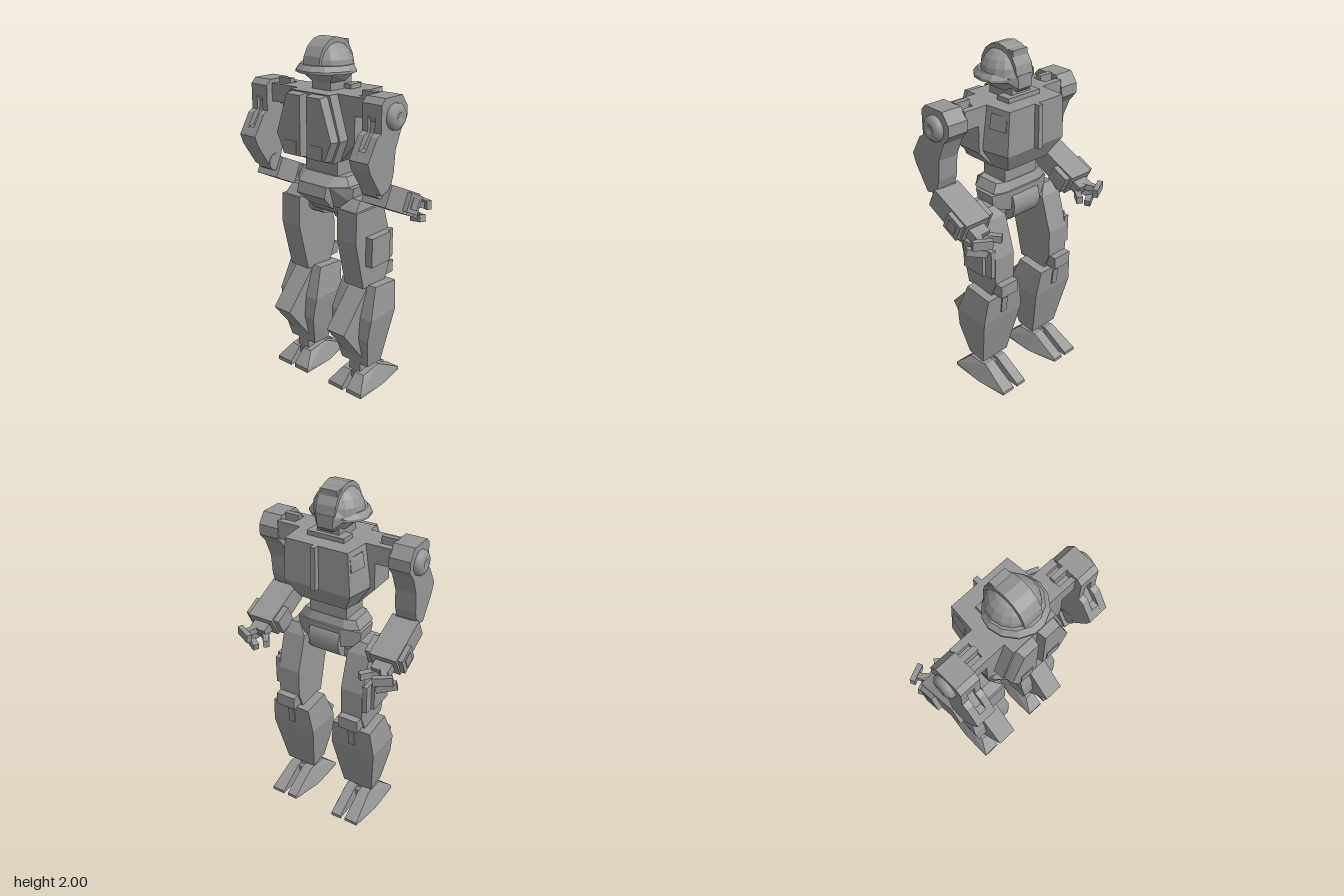
import * as THREE from 'three';
import { ConvexGeometry } from 'three/addons/geometries/ConvexGeometry.js';

export function createModel() {
  const model = new THREE.Group();
  model.name = 'robot';
  const grey = new THREE.MeshStandardMaterial({ color: 0x969696 });
  grey.name = 'armourGrey';
  let parent = model;

  const group = (name) => {
    parent = new THREE.Group();
    parent.name = name;
    model.add(parent);
  };
  const add = (name, geo) => {
    const m = new THREE.Mesh(geo, grey);
    m.name = name;
    parent.add(m);
    return m;
  };
  // box from its limits on each axis
  const box = (name, x0, x1, y0, y1, z0, z1) => {
    const m = add(name, new THREE.BoxGeometry(Math.abs(x1 - x0), y1 - y0, z1 - z0));
    m.position.set((x0 + x1) / 2, (y0 + y1) / 2, (z0 + z1) / 2);
    return m;
  };
  // side profile of [z, y] points, extruded between two x values
  const profile = (name, pts, xa, xb) => {
    const shape = new THREE.Shape(pts.map(([z, y]) => new THREE.Vector2(-z, y)));
    const geo = new THREE.ExtrudeGeometry(shape, { depth: Math.abs(xb - xa), bevelEnabled: false });
    geo.rotateY(Math.PI / 2).translate(Math.min(xa, xb), 0, 0);
    return add(name, geo);
  };
  const hull = (name, pts) => add(name, new ConvexGeometry(pts.map((p) => new THREE.Vector3(...p))));
  const both = (pts) => pts.flatMap(([x, y, z]) => [[x, y, z], [-x, y, z]]);
  const flat = (geo) => {
    const g = geo.toNonIndexed();
    g.computeVertexNormals();
    return g;
  };
  // cylinder lying along x
  const axle = (name, x0, x1, y, z, r) => {
    const m = add(name, new THREE.CylinderGeometry(r, r, Math.abs(x1 - x0), 16).rotateZ(Math.PI / 2));
    m.position.set((x0 + x1) / 2, y, z);
  };
  // square bar between two points
  const bar = (name, a, b, w, h) => {
    const p = new THREE.Vector3(...a), q = new THREE.Vector3(...b);
    const m = add(name, new THREE.BoxGeometry(w, h, p.distanceTo(q)));
    m.position.copy(p).add(q).multiplyScalar(0.5);
    m.lookAt(q);
  };

  // Head: domed helmet with brim, central crest and wedge-shaped face
  group('head');
  const dome = add('helmetDome', flat(new THREE.SphereGeometry(1, 16, 5, 0, Math.PI * 2, 0, Math.PI / 2)));
  dome.scale.set(0.138, 0.135, 0.135);
  dome.position.set(0, 1.85, 0.05);
  const rim = [[0.04, -0.085], [0.1, -0.05], [0.15, 0], [0.165, 0.06], [0.15, 0.13], [0.1, 0.195], [0.03, 0.228]];
  hull('helmetBrim', both(rim.flatMap(([x, z]) => [
    [x, 1.825, z], [x, 1.838, z], [x * 0.88, 1.865, 0.05 + (z - 0.05) * 0.85]])));
  const arc = [];
  for (let i = 0; i <= 8; i++) {
    const a = (Math.PI * i) / 8;
    arc.push([0.05 + 0.138 * Math.cos(a), 1.85 + 0.15 * Math.sin(a)]);
  }
  profile('helmetCrest', arc, -0.056, 0.056);
  profile('crestLamp', [[0.05, 1.985], [-0.053, 1.98], [-0.053, 1.92], [0.05, 1.92]], -0.05, 0.05);
  hull('face', both([[0.118, 1.83, 0.15], [0.12, 1.84, 0.03], [0.05, 1.86, -0.09], [0.1, 1.84, -0.04],
    [0.065, 1.77, 0.11], [0.07, 1.77, 0], [0.035, 1.77, -0.07], [0.045, 1.79, -0.09]]));
  hull('visor', both([[0.05, 1.92, -0.05], [0.055, 1.85, -0.09], [0.1, 1.85, -0.04], [0.06, 1.92, 0]]));
  box('neck', -0.065, 0.065, 1.7, 1.79, -0.06, 0.11);

  // Torso: wide core, six-sided front slab with twin plates, rear block
  group('torso');
  box('collar', -0.11, 0.11, 1.7, 1.755, -0.085, 0.0);
  hull('chestCore', both([0.14, -0.02].flatMap((z) => [[0.255, 1.73, z], [0.255, 1.48, z], [0.16, 1.375, z]])));
  hull('chestSlab', both([0.2, 0.1].flatMap((z) => [[0.14, 1.73, z], [0.21, 1.5, z], [0.16, 1.375, z]])));
  hull('chestRear', both([[0.185, 1.73, -0.175], [0.2, 1.49, -0.175], [0.14, 1.375, -0.11],
    [0.2, 1.73, 0], [0.235, 1.49, 0], [0.16, 1.375, 0]]));
  box('rearRidge', -0.014, 0.014, 1.49, 1.73, -0.206, -0.17);
  for (const s of [-1, 1]) {
    const plate = (d) => [[0.015 + d, 1.725 - d], [0.125 - d, 1.725 - d], [0.2 - d, 1.5], [0.152 - d, 1.385 + d], [0.015 + d, 1.385 + d]];
    hull('chestPlate', [...plate(0).map(([x, y]) => [s * x, y, 0.19]), ...plate(0.008).map(([x, y]) => [s * x, y, 0.25])]);
    box('chestHatch', s * 0.05, s * 0.13, 1.4, 1.47, 0.245, 0.254);
    hull('sideVent', [[0.19, 1.7, -0.16], [0.2, 1.62, -0.16], [0.205, 1.7, -0.06], [0.22, 1.62, -0.06]]
      .flatMap(([x, y, z]) => [[s * x, y, z], [s * (x - 0.03), y, z]]));
  }
  box('waist', -0.115, 0.115, 1.25, 1.38, -0.06, 0.11);

  // Pelvis: belt, hip block with a jutting front guard, drum and hip joints
  group('pelvis');
  hull('belt', both([[0.16, 1.28, 0.09], [0.16, 1.28, -0.04], [0.1, 1.28, 0.12], [0.1, 1.28, -0.065],
    [0.19, 1.23, 0.1], [0.19, 1.23, -0.05], [0.1, 1.23, 0.18], [0.11, 1.23, -0.085]]));
  hull('hipBlock', both([[0.2, 1.22, 0.08], [0.2, 1.22, -0.05], [0.1, 1.235, 0.17], [0.1, 1.235, -0.095],
    [0.19, 1.13, 0.07], [0.19, 1.13, -0.05], [0.09, 1.09, 0.1], [0.09, 1.12, -0.09]]));
  hull('frontGuard', both([[0.1, 1.23, 0.185], [0.1, 1.17, 0.2], [0.08, 1.09, 0.115], [0.1, 1.23, 0.1], [0.08, 1.09, 0.06]]));
  axle('crotchDrum', -0.095, 0.095, 1.14, 0.0, 0.115);
  for (const s of [-1, 1]) {
    axle('hipJoint', s * 0.045, s * 0.15, 1.06, 0.01, 0.055);
    axle('hipPin', s * 0.09, s * 0.2, 1.1, 0.01, 0.055);
  }

  for (const s of [-1, 1]) {
    const side = s > 0 ? 'left' : 'right';

    // Shoulder: three connecting bars, housing and round cap
    group(side + 'Arm');
    box('shoulderBarFront', s * 0.25, s * 0.34, 1.63, 1.73, 0.11, 0.14);
    box('shoulderBarMiddle', s * 0.25, s * 0.34, 1.61, 1.755, 0.05, 0.08);
    box('shoulderBarRear', s * 0.25, s * 0.34, 1.63, 1.73, -0.02, 0.02);
    box('shoulderCore', s * 0.25, s * 0.34, 1.65, 1.7, -0.01, 0.13);
    profile('shoulderHousing', [[0.15, 1.75], [0.015, 1.75], [-0.03, 1.69], [-0.03, 1.63], [0.015, 1.58],
      [0.13, 1.58], [0.18, 1.66], [0.18, 1.72]], s * 0.335, s * 0.455);
    const cap = add('shoulderCap', new THREE.LatheGeometry([[0.068, 0], [0.068, 0.02], [0.05, 0.036], [0.025, 0.04], [0.022, 0.03], [0, 0.03]]
      .map((p) => new THREE.Vector2(...p)), 20));
    cap.rotation.z = -s * Math.PI / 2;
    cap.position.set(s * 0.454, 1.65, 0.075);

    // Upper arm: solid elbow end, shallow channel between two rails above it
    const inside = [[0.03, 1.68], [0.015, 1.58], [0.06, 1.475], [0.07, 1.36], [0.095, 1.28], [0.17, 1.26], [0.26, 1.395], [0.28, 1.45]];
    const rail = [[0.18, 1.68], ...inside, [0.21, 1.565], [0.18, 1.58]];
    profile('upperArmCore', [[0.155, 1.68], ...inside, [0.252, 1.495], [0.215, 1.5], [0.165, 1.57]], s * 0.37, s * 0.416);
    profile('upperArmInner', rail, s * 0.335, s * 0.372);
    profile('upperArmOuter', rail, s * 0.414, s * 0.455);
    axle('elbow', s * 0.33, s * 0.43, 1.28, 0.13, 0.05);

    // Forearm block pointing back and down, with a pad on either side
    profile('forearm', [[0.095, 1.305], [-0.16, 1.19], [-0.1, 1.075], [0.15, 1.195]], s * 0.31, s * 0.468);
    for (const [x0, x1] of [[0.465, 0.495], [0.275, 0.315]]) {
      box('forearmPad', s * x0, s * x1, 1.11, 1.215, -0.125, -0.015).rotation.x = -0.44;
    }
    box('padHatch', s * 0.492, s * 0.499, 1.132, 1.194, -0.1, -0.04).rotation.x = -0.44;

    // Claw hand
    bar('palm', [s * 0.39, 1.15, -0.08], [s * 0.39, 1.105, -0.18], 0.1, 0.06);
    bar('outerUpperLink', [s * 0.39, 1.125, -0.15], [s * 0.45, 1.105, -0.24], 0.035, 0.035);
    bar('outerUpperTip', [s * 0.39, 1.105, -0.265], [s * 0.487, 1.115, -0.22], 0.03, 0.05);
    bar('outerLowerLink', [s * 0.4, 1.09, -0.13], [s * 0.45, 1.05, -0.19], 0.035, 0.035);
    bar('outerLowerTip', [s * 0.385, 1.025, -0.215], [s * 0.485, 1.055, -0.165], 0.035, 0.04);
    bar('innerLink', [s * 0.39, 1.1, -0.14], [s * 0.33, 1.085, -0.19], 0.035, 0.035);
    bar('innerTip', [s * 0.35, 1.085, -0.165], [s * 0.297, 1.085, -0.235], 0.035, 0.04);

    // Thigh and knee
    group(side + 'Leg');
    profile('thigh', [[0.14, 1.11], [0.145, 0.94], [0.075, 0.65], [-0.12, 0.65], [-0.155, 0.74], [-0.155, 0.9],
      [-0.09, 1.11]], s * 0.14, s * 0.275);
    hull('thighTop', [[0.14, 1.11, 0.13], [0.14, 1.11, -0.09], [0.26, 1.11, 0.13], [0.26, 1.11, -0.09],
      [0.19, 1.165, 0.08], [0.19, 1.165, -0.05], [0.25, 1.165, 0.08], [0.25, 1.165, -0.05]].map(([x, y, z]) => [s * x, y, z]));
    box('thighPack', s * 0.27, s * 0.32, 0.785, 0.955, -0.1, 0.06);
    box('thighPackRear', s * 0.27, s * 0.3, 0.785, 0.955, -0.15, -0.1);
    box('kneeBlock', s * 0.15, s * 0.27, 0.665, 0.74, -0.198, -0.1);

    // Calf with wedge-shaped shin guard
    const calf = [[0.66, 0.085, 0.325, 0.03], [0.645, 0.085, 0.325, -0.15], [0.48, 0.06, 0.35, 0.095], [0.48, 0.065, 0.345, -0.132],
      [0.35, 0.076, 0.334, 0.107], [0.155, 0.11, 0.3, 0.06], [0.145, 0.11, 0.3, -0.06]];
    hull('calf', calf.flatMap(([y, x0, x1, z]) => [[s * x0, y, z], [s * x1, y, z]]));
    profile('shinGuard', [[0.03, 0.65], [0.235, 0.42], [0.06, 0.195]], s * 0.145, s * 0.27);
    box('calfSlot', s * 0.185, s * 0.225, 0.52, 0.62, -0.149, -0.141).rotation.x = -0.1;
    box('ankle', s * 0.165, s * 0.245, 0.07, 0.16, -0.03, 0.06);

    // Split foot
    for (const [a, b, ta, tb] of [[0.085, 0.192, 0.13, 0.192], [0.222, 0.33, 0.222, 0.285]]) {
      const tip = tb + (b - tb) * 0.4;
      hull('footHalf', [[a, 0, 0.155], [b, 0, 0.155], [a, 0.025, 0.155], [b, 0.025, 0.155],
        [ta, 0.1, 0.075], [tb, 0.1, 0.075], [ta, 0.115, -0.065], [tb, 0.115, -0.065],
        [ta, 0.02, -0.24], [tip, 0.02, -0.24], [ta, 0, -0.24], [tip, 0, -0.24],
        [a, 0, -0.05], [b, 0, -0.05]].map(([x, y, z]) => [s * x, y, z]));
    }
    box('footBridge', s * 0.18, s * 0.235, 0.055, 0.095, -0.06, 0.07);
  }
  return model;
}
